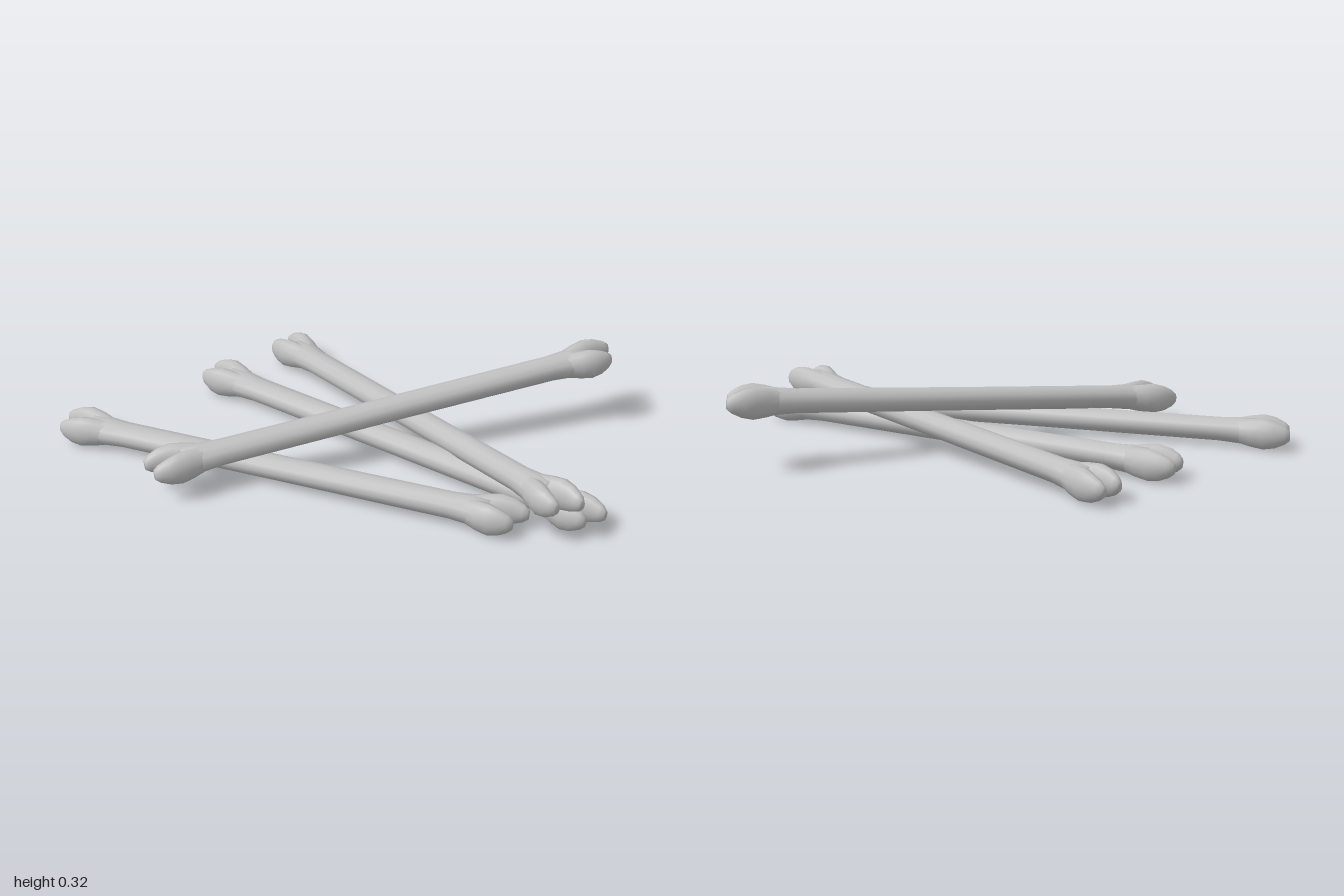
import * as THREE from 'three';

const SIDES = 12;
const HALF = 0.93; // half the length of one bone

// Closed skin over elliptical sections [x, centreZ, halfWidth, halfHeight], in order of rising x
function loft(sections) {
  const pos = [], index = [], n = sections.length;
  for (const [x, cz, hw, hh] of sections) {
    for (let i = 0; i < SIDES; i++) {
      const a = (i / SIDES) * Math.PI * 2;
      pos.push(x, hh * Math.cos(a), cz + hw * Math.sin(a));
    }
  }
  for (let s = 0; s < n - 1; s++) {
    for (let i = 0; i < SIDES; i++) {
      const a = s * SIDES + i, b = s * SIDES + (i + 1) % SIDES;
      index.push(a, b, a + SIDES, b, b + SIDES, a + SIDES);
    }
  }
  // end caps
  const first = sections[0], last = sections[n - 1], c = n * SIDES;
  pos.push(first[0], 0, first[1], last[0], 0, last[1]);
  for (let i = 0; i < SIDES; i++) {
    const j = (i + 1) % SIDES, k = (n - 1) * SIDES;
    index.push(c, j, i, c + 1, k + i, k + j);
  }
  const g = new THREE.BufferGeometry();
  g.setAttribute('position', new THREE.Float32BufferAttribute(pos, 3));
  g.setIndex(index);
  g.computeVertexNormals();
  return g;
}

// One lobe of a forked knuckle: [distance from tip, offset, half width, half height]
const LOBE = [
  [0.25, 0.004, 0.046, 0.042],
  [0.2, 0.013, 0.048, 0.046],
  [0.15, 0.03, 0.046, 0.054],
  [0.1, 0.042, 0.043, 0.059],
  [0.055, 0.047, 0.034, 0.05],
  [0.018, 0.045, 0.025, 0.034],
  [0, 0.043, 0.014, 0.02],
];

function lobeGeometry(end, side, shorter) {
  const sections = LOBE.map(([d, off, hw, hh]) =>
    [end * (HALF - d - shorter * (1 - d / 0.25)), side * off, hw, hh]);
  if (end < 0) sections.reverse();
  return loft(sections);
}

export function createModel() {
  const model = new THREE.Group();
  model.name = 'bonePile';
  const bone = new THREE.MeshStandardMaterial({ color: 0xc0c0c0 });
  bone.name = 'bone grey';

  // shaft, a little wider than tall, flaring into the knuckles
  const shaft = loft([
    [-0.8, 0, 0.05, 0.05], [-0.74, 0, 0.066, 0.051], [-0.66, 0, 0.056, 0.046],
    [0, 0, 0.054, 0.045],
    [0.66, 0, 0.056, 0.046], [0.74, 0, 0.066, 0.051], [0.8, 0, 0.05, 0.05],
  ]);
  // the lobe on the +z side is slightly shorter at both ends
  const parts = [
    ['shaft', shaft],
    ['rightEndLongLobe', lobeGeometry(1, -1, 0)],
    ['rightEndShortLobe', lobeGeometry(1, 1, 0.03)],
    ['leftEndLongLobe', lobeGeometry(-1, -1, 0)],
    ['leftEndShortLobe', lobeGeometry(-1, 1, 0.015)],
  ];

  // centre, heading and pitch (degrees) of each bone in the pile
  const placements = [
    ['middleBone', [0.06, 0.064, 0], 0, 0],
    ['backBone', [0.067, 0.11, -0.132], -16.3, 3],
    ['frontBone', [-0.103, 0.064, 0.415], 15.7, 0],
    ['topBone', [0.062, 0.192, -0.003], 59.4, 4.8],
  ];
  for (const [name, centre, heading, pitch] of placements) {
    const group = new THREE.Group();
    group.name = name;
    for (const [partName, geometry] of parts) {
      const mesh = new THREE.Mesh(geometry, bone);
      mesh.name = partName;
      group.add(mesh);
    }
    group.position.set(...centre);
    group.rotation.y = THREE.MathUtils.degToRad(heading);
    group.rotation.z = THREE.MathUtils.degToRad(pitch);
    model.add(group);
  }
  return model;
}
